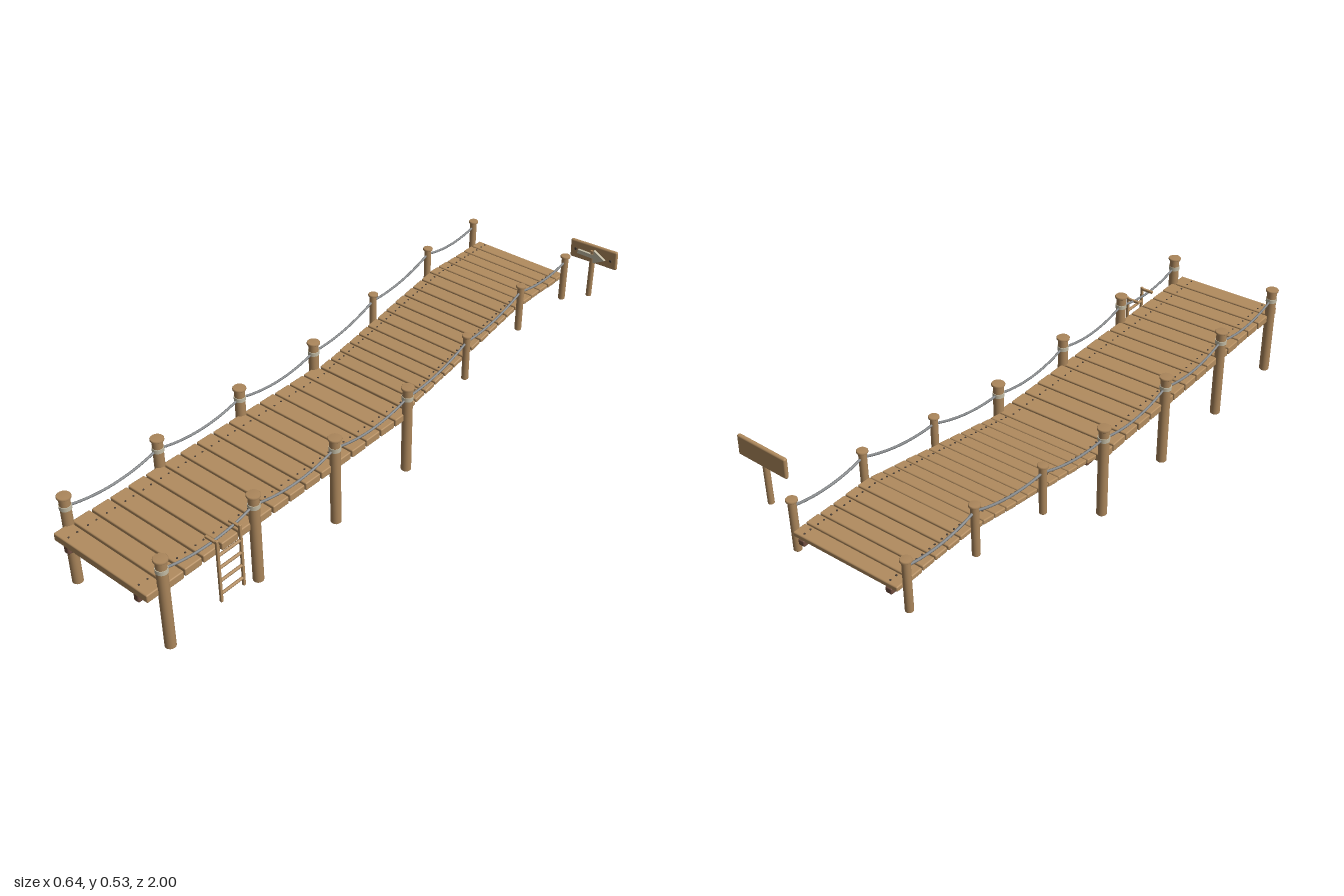
import * as THREE from 'three';
import { RoundedBoxGeometry } from 'three/addons/geometries/RoundedBoxGeometry.js';

const mat = (name, color, extra = {}) => Object.assign(new THREE.MeshStandardMaterial({ color, ...extra }), { name });

export function createModel() {
  const wood = mat('plankWood', 0xb28c5f);
  const postWood = mat('postWood', 0xac875c);
  const darkWood = mat('beamWood', 0x735041);
  const ropeMat = mat('rope', 0x85888a);
  const pale = mat('paleBinding', 0xc4bda6);
  const iron = mat('nailIron', 0x4b4037);

  const model = new THREE.Group();
  model.name = 'dock';
  const CX = -0.1; // middle line of the walkway

  const add = (name, geometry, material, x, y, z, parent = model) => {
    const mesh = new THREE.Mesh(geometry, material);
    mesh.name = name;
    mesh.position.set(x, y, z);
    parent.add(mesh);
    return mesh;
  };
  const group = (name, x, y, z) => {
    const g = new THREE.Group();
    g.name = name;
    g.position.set(x, y, z);
    model.add(g);
    return g;
  };
  const box = (w, h, d, r = 0.004) => new RoundedBoxGeometry(w, h, d, 2, r);
  let seed = 7;
  const rand = () => (seed = (seed * 16807) % 2147483647) / 2147483647 - 0.5;

  // A row of planks laid from the front of a group toward -z, top at local y = 0
  const nailGeo = new THREE.CylinderGeometry(0.003, 0.003, 0.003, 8);
  function planks(parent, count, pitch, gap, width, thick, nailX) {
    for (let i = 0; i < count; i++) {
      const z = -(i + 0.5) * pitch;
      add('plank', box(width + rand() * 0.006, thick, pitch - gap), wood, CX, -thick / 2, z, parent);
      for (const s of [-1, 1]) for (const dz of [-0.22, 0.22])
        add('nail', nailGeo, iron, CX + s * nailX, 0.0005, z + dz * pitch, parent);
    }
  }

  // Level deck on two long beams
  const deck = group('deck', 0, 0.227, 1);
  planks(deck, 16, 0.0695, 0.006, 0.395, 0.027, 0.147);
  for (const s of [-1, 1]) add('deckBeam', box(0.022, 0.032, 1.12, 0.006), darkWood, CX + s * 0.147, 0.192, 0.437);

  // Sloping ramp, then the raised landing
  const ramp = group('ramp', 0, 0.228, -0.112);
  const rise = 0.107, run = 0.588, rampLength = Math.hypot(rise, run);
  ramp.rotation.x = Math.atan2(rise, run);
  const landing = group('landing', 0, 0.336, -0.7);
  for (const [g, n, length] of [[ramp, 12, rampLength], [landing, 6, 0.3]]) {
    planks(g, n, length / n, 0.004, 0.37, 0.016, 0.152);
    for (const s of [-1, 1])
      add('stringer', box(0.022, 0.02, length, 0.004), darkWood, CX + s * 0.155, -0.024, -length / 2, g);
  }

  // Round posts with caps: z, bottom, top, radius, rope height
  const posts = [
    [0.94, 0, 0.328, 0.0172, 0.287], [0.59, 0, 0.328, 0.0172, 0.287],
    [0.245, 0, 0.328, 0.0172, 0.287], [-0.1, 0, 0.328, 0.0172, 0.287],
    [-0.405, 0.2, 0.373, 0.012, 0.345], [-0.705, 0.25, 0.425, 0.012, 0.4],
    [-0.975, 0.25, 0.425, 0.012, 0.4],
  ];
  const lathe = (pts) => new THREE.LatheGeometry(pts.map(([r, y]) => new THREE.Vector2(r, y)), 16);
  for (const x of [CX - 0.2, CX + 0.2]) {
    posts.forEach(([z, bottom, top, r, ropeY], i) => {
      add('post', lathe([[0, bottom], [r - 0.003, bottom], [r, bottom + 0.003], [r, top - 0.006]]), postWood, x, 0, z);
      const c = r + 0.005;
      add('postCap', lathe([[0, top - 0.008], [c - 0.001, top - 0.008], [c, top - 0.007],
        [c, top - 0.002], [c - 0.002, top], [0, top]]), postWood, x, 0, z);
      // Pale binding wound round the large posts
      if (i < 4) add('ropeBinding', new THREE.CylinderGeometry(r + 0.002, r + 0.002, 0.014, 16), pale, x, ropeY, z);
      // Sagging rope to the next post
      if (i === posts.length - 1) return;
      const next = posts[i + 1], sag = i < 3 ? 0.027 : 0.018;
      const pts = [];
      for (let k = 0; k <= 8; k++) {
        const t = k / 8;
        pts.push(new THREE.Vector3(x, ropeY + (next[4] - ropeY) * t - 4 * sag * t * (1 - t), z + (next[0] - z) * t));
      }
      add('rope', new THREE.TubeGeometry(new THREE.CatmullRomCurve3(pts), 20, 0.004, 8), ropeMat, 0, 0, 0);
    });
  }

  // Ladder on the left edge with hand grips turned in over the deck
  for (const z of [0.669, 0.759]) {
    add('ladderRail', box(0.009, 0.228, 0.009, 0.002), wood, 0.122, 0.164, z);
    add('ladderGrip', box(0.045, 0.009, 0.009, 0.002), wood, 0.1, 0.27, z);
  }
  for (const y of [0.08, 0.128, 0.176, 0.222]) {
    const rung = add('ladderRung', new THREE.CylinderGeometry(0.005, 0.005, 0.09, 8), wood, 0.122, y, 0.714);
    rung.rotation.x = Math.PI / 2;
  }

  // Signpost with a tilted board behind its post
  add('signPost', new THREE.CylinderGeometry(0.0095, 0.0095, 0.175, 16), postWood, 0.227, 0.4175, -0.94);
  const board = add('signBoard', box(0.182, 0.067, 0.013, 0.006), wood, 0.228, 0.49, -0.945);
  board.rotation.z = 0.038;
  for (const x of [0.159, 0.297]) {
    const nail = add('signNail', new THREE.CylinderGeometry(0.0045, 0.0045, 0.004, 10), iron, x, 0.489, -0.938);
    nail.rotation.x = Math.PI / 2;
  }
  const arrow = new THREE.Shape([[0.171, 0.479], [0.234, 0.479], [0.234, 0.462], [0.278, 0.486],
    [0.234, 0.51], [0.234, 0.493], [0.171, 0.493]].map(([x, y]) => new THREE.Vector2(x, y)));
  add('signArrow', new THREE.ExtrudeGeometry(arrow, { depth: 0.009, bevelEnabled: false }), pale, 0, 0, -0.9385);

  return model;
}
